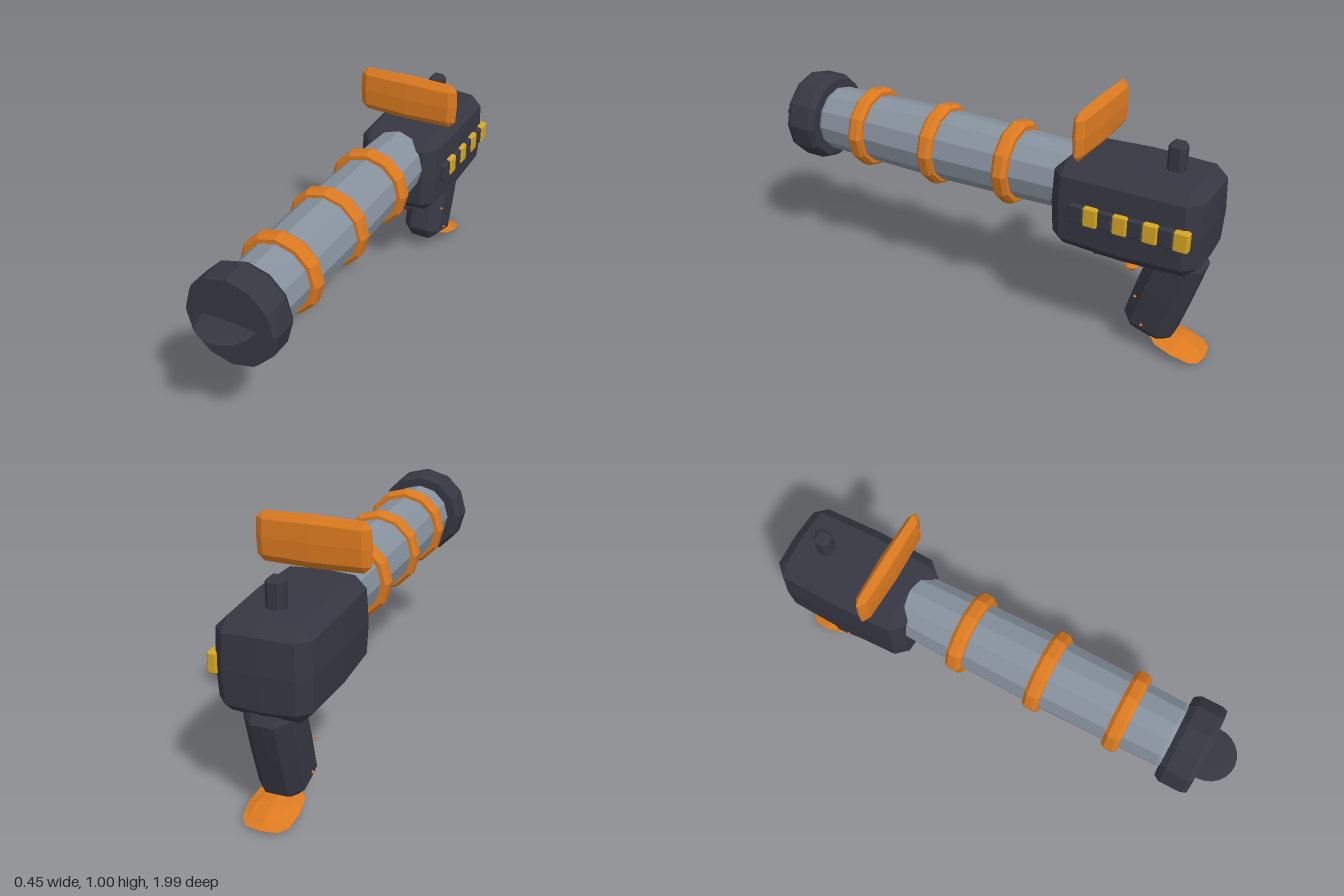
import * as THREE from 'three';

const mat = (name, color) => {
  const m = new THREE.MeshStandardMaterial({ color, flatShading: true });
  m.name = name;
  return m;
};

// Box with chamfered edges whose faces swell slightly towards their middles.
function bevelBox(w, h, d, bevel, bulge = 0) {
  const geo = new THREE.BoxGeometry(2, 2, 2, 4, 4, 4);
  const half = [w / 2, h / 2, d / 2];
  const pos = geo.attributes.position;
  for (let i = 0; i < pos.count; i++) {
    const t = [pos.getX(i), pos.getY(i), pos.getZ(i)].map((v) => Math.round(v * 2) / 2);
    const extremes = t.filter((v) => Math.abs(v) === 1).length;
    const cut = [0, 0, bevel / 2, (bevel * 2) / 3][extremes];
    const p = t.map((v, a) => {
      const s = Math.sign(v);
      return Math.abs(v) === 1 ? s * (half[a] - cut) : s * (half[a] - bevel);
    });
    const q = p.map((v, a) => v / half[a]);
    const spread = q[0] ** 2 + q[1] ** 2 + q[2] ** 2;
    const out = p.map((v, a) => v - Math.sign(v) * Math.abs(q[a]) * bulge * (spread - q[a] ** 2) / 2);
    pos.setXYZ(i, ...out);
  }
  geo.computeVertexNormals();
  return geo;
}

// Twelve-sided solid of revolution along z from [radius, z] pairs.
function turned(points) {
  return new THREE.LatheGeometry(points.map(([r, z]) => new THREE.Vector2(r, z)), 12).rotateX(Math.PI / 2);
}

export function createModel() {
  const dark = mat('dark casing', 0x373743);
  const orange = mat('orange trim', 0xdb7a20);
  const grey = mat('grey metal', 0x87929e);
  const yellow = mat('yellow stripe', 0xd6a622);

  const model = new THREE.Group();
  const add = (name, geo, material, x = 0, y = 0, z = 0, tilt = 0) => {
    const mesh = new THREE.Mesh(geo, material);
    mesh.name = name;
    mesh.position.set(x, y, z);
    mesh.rotation.x = tilt;
    model.add(mesh);
    return mesh;
  };
  const axisY = 0.665;

  // Barrel, slightly swollen in the middle
  add('barrel', turned([[0, -0.42], [0.132, -0.42], [0.14, -0.15], [0.146, 0.18],
    [0.142, 0.5], [0.137, 0.73], [0.13, 0.745], [0, 0.745]]), grey, 0, axisY);
  for (const z of [0.54, 0.195, -0.15]) {
    add('barrelRing', turned([[0.125, -0.033], [0.158, -0.033], [0.171, -0.017],
      [0.171, 0.017], [0.158, 0.033], [0.125, 0.033]]), orange, 0, axisY, z);
  }

  // Muzzle cap and the thin disc set into it
  add('muzzleCap', turned([[0, 0.745], [0.172, 0.745], [0.188, 0.77], [0.188, 0.858],
    [0.18, 0.88], [0, 0.88]]), dark, 0, 0.663);
  const disc = add('muzzleDisc', new THREE.SphereGeometry(0.11, 24, 10), dark, 0, axisY, 0.89);
  disc.scale.y = 0.065;

  // Housing with its top knob and floating sight plate
  add('housing', bevelBox(0.374, 0.374, 0.605, 0.045, 0.02), dark, 0, 0.615, -0.67);
  add('topKnob', bevelBox(0.066, 0.13, 0.066, 0.015), dark, 0, 0.84, -0.807);
  add('sightPlate', bevelBox(0.446, 0.2, 0.06, 0.025, 0.012), orange, 0, 0.925, -0.5);

  // Hazard strip on the left side, alternating dark and yellow
  for (let i = 0; i < 8; i++) {
    const isYellow = i % 2 === 1;
    add(isYellow ? 'yellowStripe' : 'darkStripe', bevelBox(0.036, isYellow ? 0.08 : 0.076, 0.058, 0.006),
      isYellow ? yellow : dark, isYellow ? 0.184 : 0.182, 0.616, -0.502 - i * 0.0586);
  }

  // Slanted grip, foot and small side studs
  add('grip', bevelBox(0.184, 0.43, 0.212, 0.045, 0.006), dark, 0, 0.29, -0.81, -0.29);
  add('gripFoot', bevelBox(0.2, 0.058, 0.225, 0.026, 0.035), orange, 0, 0.06, -0.885, -0.26);
  for (const side of [-1, 1]) {
    for (const [y, z] of [[0.27, -0.72], [0.15, -0.755]]) {
      add('gripStud', new THREE.OctahedronGeometry(0.008), orange, side * 0.092, y, z);
    }
  }

  // Trigger guard, trigger and cross bar
  add('guardPost', bevelBox(0.046, 0.09, 0.024, 0.008), dark, 0, 0.4, -0.514);
  add('guardBar', bevelBox(0.046, 0.026, 0.22, 0.008), dark, 0, 0.371, -0.61);
  add('trigger', bevelBox(0.03, 0.05, 0.026, 0.008), dark, 0, 0.418, -0.642);
  add('crossBar', bevelBox(0.196, 0.038, 0.055, 0.016, 0.004), orange, 0, 0.39, -0.69);

  return model;
}
